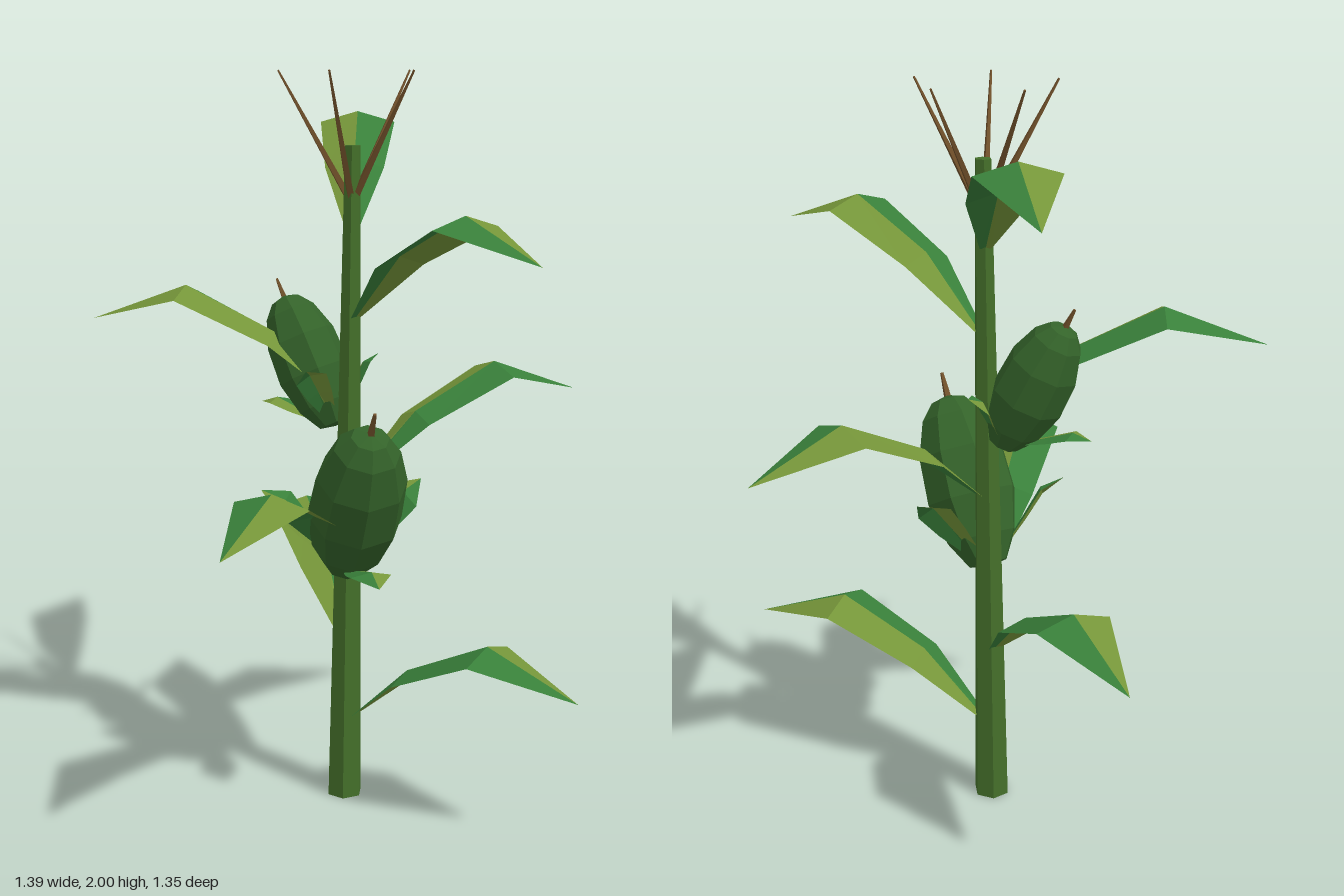
import * as THREE from 'three';

const mat = (color, side = THREE.FrontSide) =>
  new THREE.MeshStandardMaterial({ color, flatShading: true, side });
const stemMat = mat(0x446f2a);
const huskMat = mat(0x34632a);
const silkMat = mat(0x70502a);
const leafLight = mat(0x759539, THREE.DoubleSide);
const leafDark = mat(0x39803a, THREE.DoubleSide);

// Centre line of the slightly leaning stem
const STEM_H = 1.81;
const stemAt = (y) => new THREE.Vector3(-0.03 + 0.024 * (y / STEM_H), y, -0.037 - 0.004 * (y / STEM_H));

function add(parent, name, geometry, material) {
  const mesh = new THREE.Mesh(geometry, material);
  mesh.name = name;
  parent.add(mesh);
  return mesh;
}

// One half of a folded blade; each section is [out, up, halfWidth, edgeDrop]
function bladeHalf(sections, side) {
  const pos = [];
  const index = [];
  sections.forEach(([x, y, w, drop], i) => {
    pos.push(x, y, 0, x, y - drop, side * w);
    if (i === sections.length - 1) return;
    const a = i * 2;
    const tris = [[a, a + 1, a + 2], [a + 1, a + 3, a + 2]];
    tris.forEach(([p, q, r]) => index.push(...(side > 0 ? [p, q, r] : [p, r, q])));
  });
  const g = new THREE.BufferGeometry();
  g.setAttribute('position', new THREE.Float32BufferAttribute(pos, 3));
  g.setIndex(index);
  g.computeVertexNormals();
  return g;
}

function makeBlade(name, sections) {
  const blade = new THREE.Group();
  blade.name = name;
  add(blade, name + 'LightHalf', bladeHalf(sections, -1), leafLight);
  add(blade, name + 'DarkHalf', bladeHalf(sections, 1), leafDark);
  return blade;
}

const LEAF = [[0.02, 0, 0.015, 0], [0.205, 0.18, 0.08, 0.025], [0.455, 0.3, 0.105, 0.03], [0.725, 0.2, 0, 0]];
const BRACT = [[0.03, 0.02, 0.015, 0], [0.13, 0.12, 0.045, 0.012], [0.19, 0.18, 0.055, 0.015], [0.26, 0.19, 0, 0]];

// Ear with a faceted husk, a silk stub and three bracts round its foot
function makeEar(name, foot, tip, scale) {
  const ear = new THREE.Group();
  ear.name = name;
  const axis = tip.clone().sub(foot).normalize();
  ear.position.copy(foot);
  ear.quaternion.setFromUnitVectors(new THREE.Vector3(0, 1, 0), axis);
  ear.scale.setScalar(scale);

  const profile = [[0, 0], [0.055, 0.01], [0.1, 0.085], [0.128, 0.2], [0.122, 0.33], [0.088, 0.43], [0.05, 0.475], [0, 0.49]]
    .map(([r, y]) => new THREE.Vector2(r, y));
  add(ear, 'husk', new THREE.LatheGeometry(profile, 8), huskMat);

  const silk = add(ear, 'silk', new THREE.CylinderGeometry(0.005, 0.012, 0.08, 4), silkMat);
  silk.position.y = 0.515;

  const heading = Math.atan2(-axis.z, axis.x);
  for (let i = 0; i < 3; i++) {
    const bract = makeBlade('bract', BRACT);
    bract.rotation.y = heading + (i * Math.PI * 2) / 3;
    ear.add(bract);
  }
  return ear;
}

export function createModel() {
  const plant = new THREE.Group();
  plant.name = 'cornPlant';

  // Six-sided tapered stem, sheared to follow its lean
  const stemGeo = new THREE.CylinderGeometry(0.022, 0.05, STEM_H, 6, 4);
  stemGeo.rotateY(Math.PI / 6);
  stemGeo.translate(0, STEM_H / 2, 0);
  const p = stemGeo.attributes.position;
  for (let i = 0; i < p.count; i++) {
    const c = stemAt(p.getY(i));
    p.setXYZ(i, p.getX(i) + c.x, p.getY(i), p.getZ(i) + c.z);
  }
  stemGeo.computeVertexNormals();
  add(plant, 'stem', stemGeo, stemMat);

  // Leaves spiralling up the stem
  for (let i = 0; i < 7; i++) {
    const leaf = makeBlade('leaf', LEAF);
    leaf.position.copy(stemAt(0.23 + 0.226 * i));
    leaf.rotation.y = THREE.MathUtils.degToRad(140.5 * i);
    plant.add(leaf);
  }

  // Two ears
  plant.add(makeEar('lowerEar', new THREE.Vector3(-0.005, 0.68, 0), new THREE.Vector3(0.185, 1.1, 0.15), 1));
  plant.add(makeEar('upperEar', new THREE.Vector3(-0.06, 1.06, -0.04), new THREE.Vector3(-0.22, 1.38, -0.035), 0.78));

  // Tassel of five thin spikes
  const tassel = new THREE.Group();
  tassel.name = 'tassel';
  tassel.position.copy(stemAt(1.66));
  const length = Math.hypot(0.19, 0.34);
  for (let i = 0; i < 5; i++) {
    const geo = new THREE.CylinderGeometry(0.003, 0.012, length, 4);
    geo.translate(0, length / 2, 0);
    const spike = add(tassel, 'tasselSpike', geo, silkMat);
    const a = (i * Math.PI * 2) / 5;
    const dir = new THREE.Vector3(0.19 * Math.cos(a), 0.34, 0.19 * Math.sin(a)).normalize();
    spike.quaternion.setFromUnitVectors(new THREE.Vector3(0, 1, 0), dir);
  }
  plant.add(tassel);
  return plant;
}
